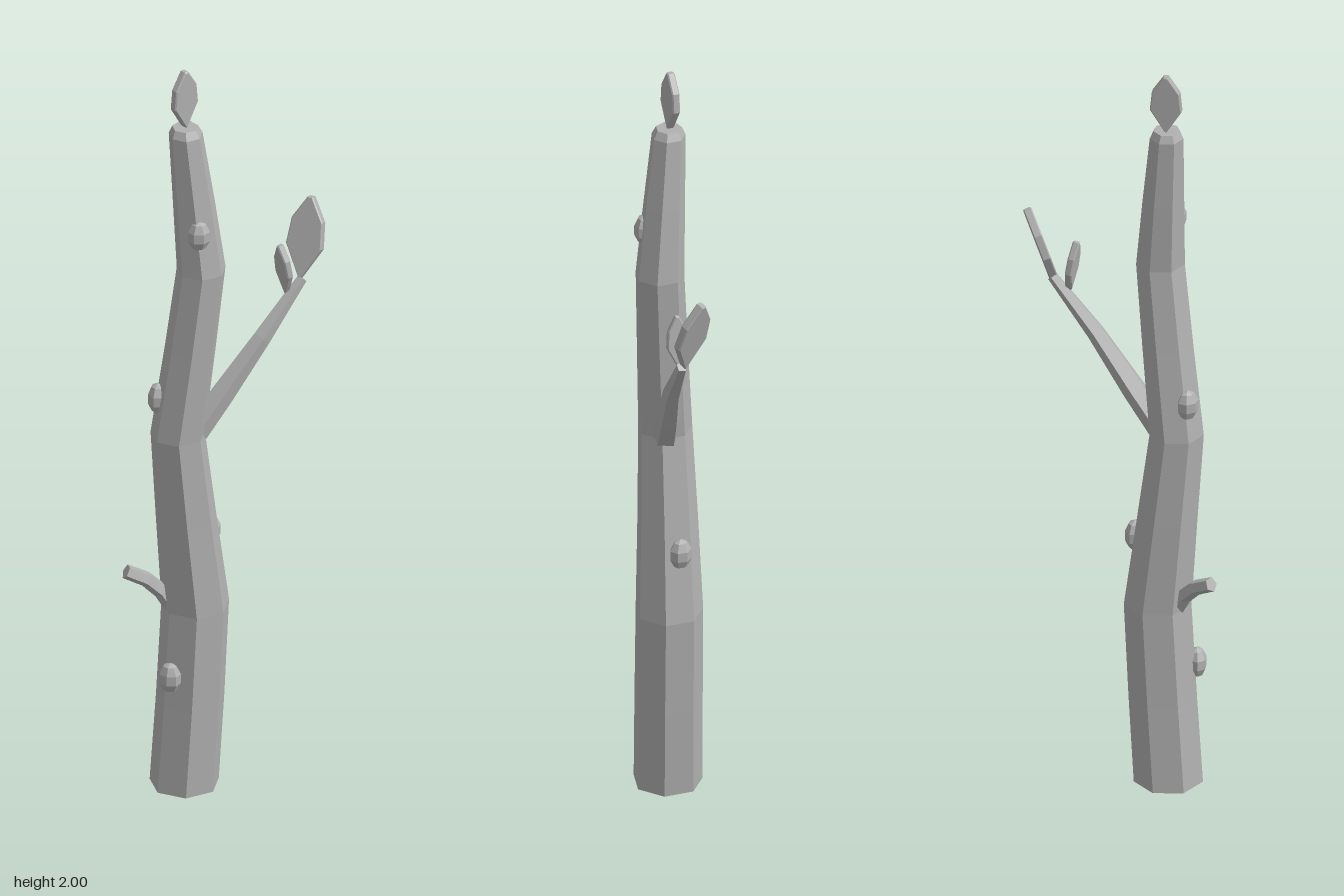
import * as THREE from 'three';

const V = (x, y, z) => new THREE.Vector3(x, y, z);

// Faceted limb through rows of [x, y, z, radius]; fixedAxis keeps all rings level
function limb(rows, sides, hint, phase, fixedAxis) {
  const centres = rows.map(r => V(r[0], r[1], r[2]));
  const rings = rows.map((r, i) => {
    const t = fixedAxis ? fixedAxis.clone()
      : centres[Math.min(i + 1, rows.length - 1)].clone().sub(centres[Math.max(i - 1, 0)]).normalize();
    const u = hint.clone().addScaledVector(t, -hint.dot(t)).normalize();
    const v = u.clone().cross(t);
    return Array.from({ length: sides }, (_, k) => {
      const a = phase + k / sides * Math.PI * 2;
      return centres[i].clone().addScaledVector(u, r[3] * Math.cos(a)).addScaledVector(v, r[3] * Math.sin(a));
    });
  });
  const pts = [];
  const last = rings.length - 1;
  for (let k = 0; k < sides; k++) {
    const n = (k + 1) % sides;
    for (let i = 0; i < last; i++) {
      const a = rings[i], b = rings[i + 1];
      pts.push(a[k], b[k], a[n], a[n], b[k], b[n]);
    }
    pts.push(centres[0], rings[0][k], rings[0][n]);
    pts.push(centres[last], rings[last][n], rings[last][k]);
  }
  const g = new THREE.BufferGeometry().setFromPoints(pts);
  g.computeVertexNormals();
  return g;
}

// Thick six-cornered leaf from base to tip, spread along the across direction
function leaf(base, tip, across, width, thick) {
  const axis = tip.clone().sub(base);
  const len = axis.length();
  axis.normalize();
  const outline = [[0, 0], [0.46, 0.4], [0.4, 0.72], [0.05, 1], [-0.05, 1], [-0.4, 0.72], [-0.46, 0.4]];
  const shape = new THREE.Shape(outline.map(([x, y]) => new THREE.Vector2(x * width, y * len)));
  const bevel = 0.003;
  const g = new THREE.ExtrudeGeometry(shape, {
    depth: thick - 2 * bevel, bevelEnabled: true, bevelSegments: 1, bevelThickness: bevel, bevelSize: bevel,
  });
  g.translate(0, 0, -thick / 2 + bevel);
  const x = across.clone().addScaledVector(axis, -across.dot(axis)).normalize();
  const z = x.clone().cross(axis);
  g.applyMatrix4(new THREE.Matrix4().makeBasis(x, axis, z).setPosition(base));
  return g;
}

export function createModel() {
  const model = new THREE.Group();
  const bark = new THREE.MeshStandardMaterial({ color: 0xb0b0b0 });
  bark.name = 'grey';
  bark.flatShading = true;
  const add = (name, geometry) => {
    const mesh = new THREE.Mesh(geometry, bark);
    mesh.name = name;
    model.add(mesh);
    return mesh;
  };

  // Crooked seven-sided trunk with a bevelled top
  add('trunk', limb([
    [-0.117, 0.004, 0.007, 0.088],
    [-0.101, 0.24, 0.006, 0.087],
    [-0.087, 0.5, 0.004, 0.086],
    [-0.113, 0.75, 0.008, 0.077],
    [-0.137, 0.99, 0.014, 0.069],
    [-0.106, 1.23, 0.021, 0.065],
    [-0.08, 1.45, 0.027, 0.062],
    [-0.096, 1.64, 0.016, 0.053],
    [-0.113, 1.825, 0.005, 0.043],
    [-0.114, 1.845, 0.004, 0.033],
  ], 7, V(1, 0, 0), 0.085, V(0, 1, 0)));

  // Side branches
  add('branch', limb([
    [-0.09, 0.99, 0.012, 0.034],
    [-0.02, 1.075, 0.005, 0.032],
    [0.09, 1.21, -0.005, 0.024],
    [0.205, 1.345, -0.028, 0.014],
  ], 5, V(0, 0, 1), 0.3));
  add('twig', limb([
    [-0.14, 0.49, 0, 0.021],
    [-0.172, 0.545, -0.006, 0.021],
    [-0.21, 0.582, -0.012, 0.02],
    [-0.262, 0.61, -0.018, 0.019],
  ], 5, V(0, 0, 1), 0.3));

  // Leaves
  add('topLeaf', leaf(V(-0.115, 1.845, 0), V(-0.115, 1.997, 0), V(0.9, 0, -0.4), 0.08, 0.02));
  add('largeLeaf', leaf(V(0.202, 1.345, -0.03), V(0.248, 1.54, -0.075), V(1, 0, 1), 0.098, 0.022));
  add('smallLeaf', leaf(V(0.163, 1.32, -0.02), V(0.143, 1.452, -0.015), V(0.25, 0, 1), 0.056, 0.018));

  // Knots: position and the outward direction in x and z
  const knots = [
    [-0.1, 1.567, 0.065, -0.1, 1],
    [-0.172, 0.33, 0.052, -0.8, 0.6],
    [-0.038, 0.685, -0.025, 0.85, -0.45],
    [-0.183, 1.09, -0.006, -0.94, -0.34],
  ];
  for (const [x, y, z, dx, dz] of knots) {
    const knot = add('knot', new THREE.SphereGeometry(1, 7, 5));
    knot.scale.set(0.03, 0.041, 0.026);
    knot.position.set(x, y, z);
    knot.rotation.y = Math.atan2(dx, dz);
  }
  return model;
}
